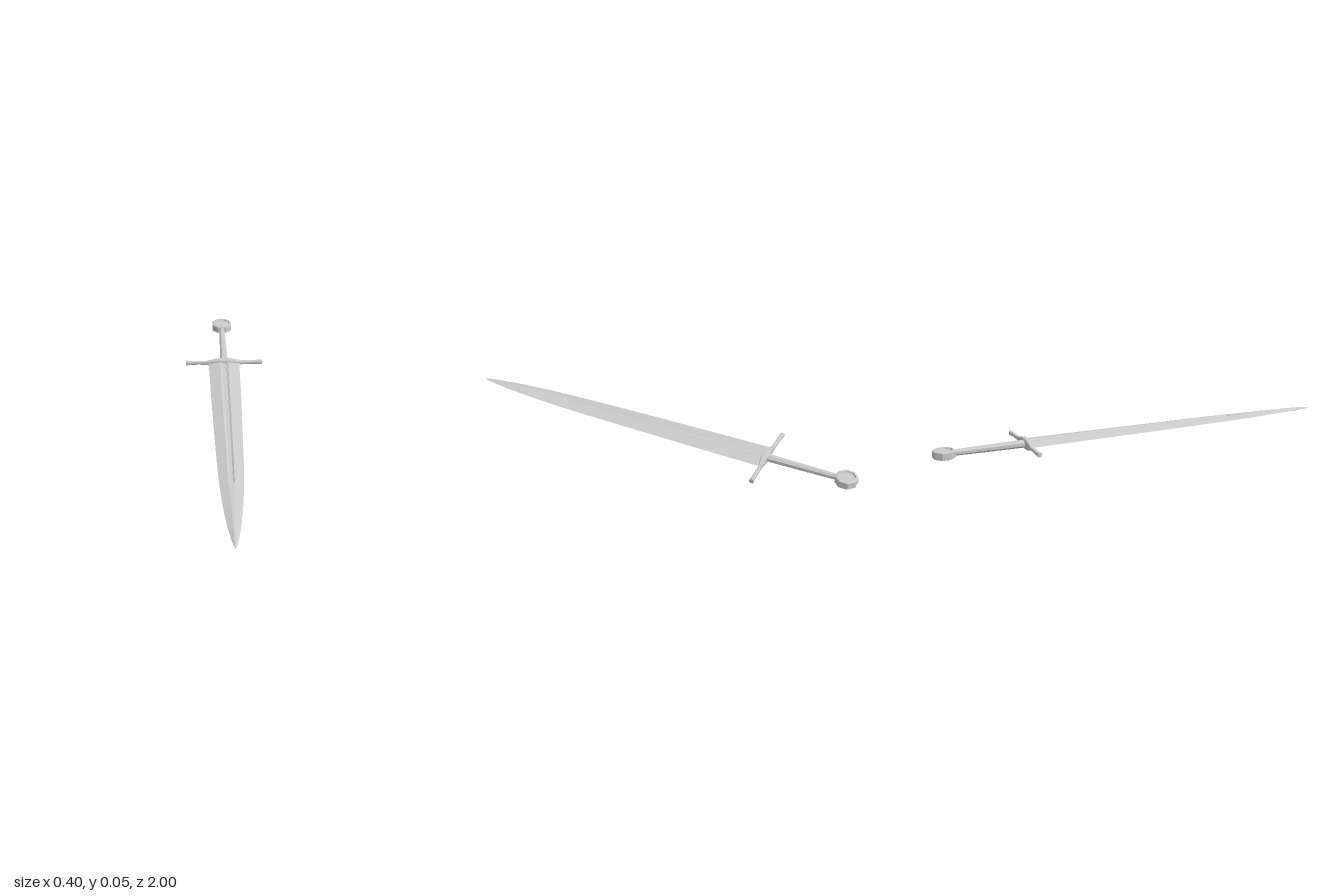
import * as THREE from 'three';

const MID = 0.0245; // height of the sword's centre plane
const metal = new THREE.MeshStandardMaterial({ color: 0xcccccc, flatShading: true });

// Skin a list of rings; each ring is { z, pts } with pts counter-clockwise in xy.
function loft(rings) {
  const n = rings[0].pts.length, pos = [], idx = [];
  for (const r of rings) for (const [x, y] of r.pts) pos.push(x, y, r.z);
  for (let k = 0; k < rings.length - 1; k++) {
    for (let i = 0; i < n; i++) {
      const a = k * n + i, b = k * n + (i + 1) % n;
      idx.push(a, b, b + n, a, b + n, a + n);
    }
  }
  const last = (rings.length - 1) * n;
  for (let i = 1; i < n - 1; i++) {
    idx.push(0, i + 1, i, last, last + i, last + i + 1);
  }
  const g = new THREE.BufferGeometry();
  g.setAttribute('position', new THREE.Float32BufferAttribute(pos, 3));
  g.setIndex(idx);
  g.computeVertexNormals();
  return g;
}

// Rectangle with cut corners: half width w, half height h, shifted by cx.
function chamfered(w, h, cut, cx = 0) {
  const a = w * (1 - cut), b = h * (1 - cut);
  return [[w, -b], [w, b], [a, h], [-a, h], [-w, b], [-w, -b], [-a, -h], [a, -h]]
    .map(([x, y]) => [x + cx, y]);
}

// Blade section: a flat lens with a fuller of the given depth on both faces.
function bladeSection(w, h, f, depth) {
  const inner = f * 0.5, floor = h - depth;
  const top = [[w, 0], [f, h], [inner, floor], [-inner, floor], [-f, h]];
  return [...top, ...top.map(([x, y]) => [-x, -y])];
}

export function createModel() {
  const sword = new THREE.Group();
  sword.name = 'sword';
  const add = (name, geometry, z = 0) => {
    const mesh = new THREE.Mesh(geometry, metal);
    mesh.name = name;
    mesh.position.set(0, MID, z);
    sword.add(mesh);
    return mesh;
  };

  // Blade: z, half width, half thickness, fuller half width, fuller depth
  add('blade', loft([
    [-0.55, 0.08, 0.0125, 0.021, 0.005],
    [-0.2, 0.075, 0.0125, 0.02, 0.005],
    [0.1, 0.069, 0.012, 0.018, 0.005],
    [0.35, 0.063, 0.0115, 0.016, 0.005],
    [0.525, 0.057, 0.011, 0.015, 0.005],
    [0.535, 0.0565, 0.011, 0.0145, 0],
    [0.65, 0.049, 0.0105, 0.01, 0],
    [0.75, 0.041, 0.01, 0.007, 0],
    [0.85, 0.03, 0.009, 0.005, 0],
    [0.93, 0.018, 0.007, 0.003, 0],
    [0.97, 0.01, 0.004, 0.0015, 0],
    [1, 0.0004, 0.0004, 0.0001, 0],
  ].map(([z, w, h, f, d]) => ({ z, pts: bladeSection(w, h, f, d) }))));

  // Crossguard: distance from centre, half depth, half height, z of section
  const half = [
    [0.02, 0.014, 0.0245, -0.549],
    [0.045, 0.0125, 0.0215, -0.55],
    [0.07, 0.01, 0.014, -0.552],
    [0.092, 0.008, 0.0085, -0.554],
    [0.14, 0.008, 0.008, -0.555],
    [0.18, 0.009, 0.009, -0.556],
    [0.2, 0.01, 0.0105, -0.556],
  ];
  const stations = [...half.map(([x, ...r]) => [-x, ...r]).reverse(), ...half];
  const guard = loft(stations.map(([x, d, h, z]) => ({ z: x, pts: chamfered(d, h, 0.3, -z) })));
  guard.rotateY(Math.PI / 2);
  add('crossguard', guard);

  // Grip: tapering eight-sided handle
  add('grip', loft([
    [-0.91, 0.0135, 0.0135],
    [-0.75, 0.0165, 0.0155],
    [-0.62, 0.0185, 0.0165],
    [-0.55, 0.0195, 0.017],
  ].map(([z, w, h]) => ({ z, pts: chamfered(w, h, 0.55) }))));

  // Pommel: octagonal disc with a bevelled rim and sunken faces
  const rim = [[0, 0.013], [0.039, 0.013], [0.042, 0.0195], [0.047, 0.0195], [0.0541, 0.0165]];
  const profile = [...rim.map(([r, y]) => [r, -y]), ...rim.slice().reverse()]
    .map(([r, y]) => new THREE.Vector2(r, y));
  const pommel = new THREE.LatheGeometry(profile, 8);
  pommel.rotateY(Math.PI / 8);
  add('pommel', pommel, -0.95);

  return sword;
}
